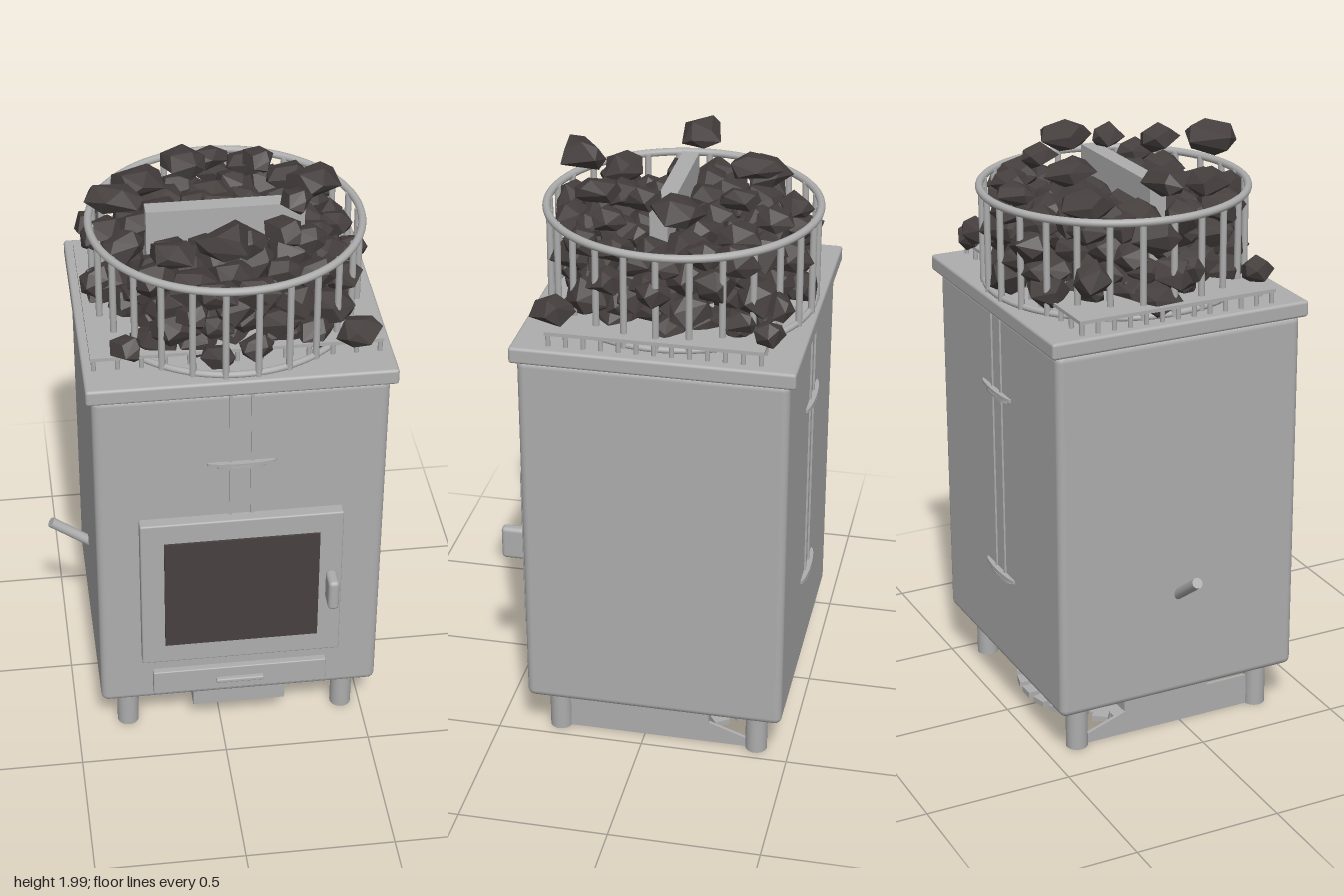
import * as THREE from 'three';
import { RoundedBoxGeometry } from 'three/addons/geometries/RoundedBoxGeometry.js';
import { ConvexGeometry } from 'three/addons/geometries/ConvexGeometry.js';

const CX = 0.06, CZ = -0.053; // vertical axis of the stove

export function createModel() {
  const root = new THREE.Group();
  const steel = new THREE.MeshStandardMaterial({ color: 0xadadad });
  steel.name = 'steel';
  const stone = new THREE.MeshStandardMaterial({ color: 0x453f3e, flatShading: true });
  stone.name = 'stone';
  const glass = new THREE.MeshStandardMaterial({ color: 0x474140 });
  glass.name = 'dark glass';

  let seed = 7;
  const rand = () => (seed = (seed * 16807) % 2147483647) / 2147483647;

  const add = (name, geo, mat, x = 0, y = 0, z = 0, parent = root) => {
    const m = new THREE.Mesh(geo, mat);
    m.name = name;
    m.position.set(x, y, z);
    parent.add(m);
    return m;
  };
  // box given by its limits, optionally rounded
  const box = (name, x0, x1, y0, y1, z0, z1, r = 0, mat = steel, parent = root) => {
    const s = [x1 - x0, y1 - y0, z1 - z0];
    const geo = r ? new RoundedBoxGeometry(...s, 3, r) : new THREE.BoxGeometry(...s);
    return add(name, geo, mat, (x0 + x1) / 2, (y0 + y1) / 2, (z0 + z1) / 2, parent);
  };
  const group = (name) => {
    const g = new THREE.Group();
    g.name = name;
    root.add(g);
    return g;
  };

  // Cabinet
  box('body', -0.418, 0.536, 0.167, 1.44, -0.483, 0.387, 0.025);
  box('topPlate', -0.436, 0.558, 1.437, 1.492, -0.505, 0.405, 0.01);

  // Vertical cover strips with lens-shaped clips, front and back
  const strip = (name, y0, z, out, clips) => {
    const g = group(name);
    for (const x of [0.024, 0.094])
      box('stripEdge', x - 0.005, x + 0.005, y0, 1.44, z - 0.006, z + 0.006, 0, steel, g);
    for (const y of clips) {
      for (const [w, dy] of [[0.113, 0.005], [0.08, -0.008]]) {
        const c = add('clip', new THREE.CylinderGeometry(1, 1, 0.011, 32), steel, CX, y + dy, z + out * 0.001, g);
        c.scale.set(w, 1, 0.018);
      }
    }
  };
  strip('frontStrip', 0.95, 0.387, 1, [1.16]);
  strip('backStrip', 0.5, -0.483, -1, [1.16, 0.503]);

  // Door with window and grip
  box('doorFrame', -0.278, 0.395, 0.365, 0.957, 0.38, 0.427, 0.006);
  box('doorGlass', -0.2, 0.317, 0.445, 0.88, 0.426, 0.434, 0, glass);
  box('doorHandle', 0.339, 0.376, 0.603, 0.72, 0.425, 0.505, 0.014);

  // Ash drawer
  box('ashDrawer', -0.24, 0.357, 0.207, 0.302, 0.38, 0.41, 0.004);
  box('drawerHandle', -0.025, 0.14, 0.245, 0.261, 0.405, 0.426, 0.005);

  // Damper lever on the side
  const a = new THREE.Vector3(-0.545, 0.628, -0.052), b = new THREE.Vector3(-0.39, 0.515, -0.052);
  const lever = add('lever', new THREE.CylinderGeometry(0.018, 0.018, a.distanceTo(b), 20), steel);
  lever.position.lerpVectors(a, b, 0.5);
  lever.quaternion.setFromUnitVectors(new THREE.Vector3(0, 1, 0), a.clone().sub(b).normalize());

  // Base: feet, collar, drum, floor and side gussets
  const base = group('base');
  for (const x of [-0.322, 0.434]) {
    for (const z of [0.295, -0.386])
      add('foot', new THREE.CylinderGeometry(0.037, 0.037, 0.18, 24), steel, x, 0.09, z, base);
    const s = new THREE.Shape();
    s.moveTo(-0.29, 0).lineTo(0.386, 0).lineTo(0.36, 0.03).lineTo(0.13, 0.11).lineTo(-0.29, 0.11);
    const gusset = add('sideGusset', new THREE.ExtrudeGeometry(s, { depth: 0.012, bevelEnabled: false }),
      steel, x - 0.006, 0, 0, base);
    gusset.rotation.y = Math.PI / 2;
  }
  box('sideCollar', -0.368, 0.487, 0.11, 0.18, -0.23, 0.085, 0, steel, base);
  box('frontCollar', -0.1, 0.22, 0.11, 0.18, -0.43, 0.375, 0, steel, base);
  add('upperDrum', new THREE.CylinderGeometry(0.335, 0.335, 0.07, 64), steel, CX, 0.14, CZ, base);
  add('lowerDrum', new THREE.CylinderGeometry(0.24, 0.24, 0.11, 64), steel, CX, 0.06, CZ, base);
  add('floorDisc', new THREE.CylinderGeometry(0.3, 0.3, 0.01, 64), steel, CX, 0.006, CZ, base);
  box('floorPlate', -0.322, 0.434, 0.001, 0.011, -0.2, 0.2, 0, steel, base);
  for (let i = -4; i <= 4; i++) {
    const t = i * 0.24;
    const tooth = add('airTooth', new THREE.BoxGeometry(0.055, 0.02, 0.05), steel,
      CX + Math.sin(t) * 0.325, 0.015, CZ - Math.cos(t) * 0.325, base);
    tooth.rotation.y = -t;
  }

  // Raised deck on small pegs
  const deck = group('stoneDeck');
  box('deckPlate', -0.41, 0.525, 1.53, 1.542, -0.4, 0.295, 0, steel, deck);
  const peg = new THREE.CylinderGeometry(0.008, 0.008, 0.05, 10);
  for (let i = 0; i <= 12; i++) {
    const x = -0.4 + (0.915 * i) / 12, z = -0.39 + (0.675 * i) / 12;
    for (const zz of [-0.39, 0.285]) add('peg', peg, steel, x, 1.513, zz, deck);
    for (const xx of [-0.4, 0.515]) add('peg', peg, steel, xx, 1.513, z, deck);
  }

  // Round cage
  const cage = group('stoneCage');
  const ring = (name, r, tube, y) => {
    add(name, new THREE.TorusGeometry(r, tube, 12, 96), steel, CX, y, CZ, cage).rotation.x = Math.PI / 2;
  };
  ring('topRing', 0.439, 0.013, 1.815);
  ring('bottomRing', 0.428, 0.011, 1.5);
  const bar = new THREE.CylinderGeometry(0.011, 0.011, 0.325, 12);
  for (let i = 0; i < 26; i++) {
    const t = ((i + 0.5) / 26) * Math.PI * 2;
    add('cageBar', bar, steel, CX + Math.sin(t) * 0.432, 1.654, CZ + Math.cos(t) * 0.432, cage);
  }
  box('dividerPanel', -0.2, 0.31, 1.5, 1.885, -0.052, 0.005, 0, steel, cage);

  // Faceted stones: hulls of points scattered over an ellipsoid
  const stones = group('stones');
  const hulls = [];
  for (let k = 0; k < 12; k++) {
    const pts = [];
    for (let i = 0; i < 13; i++) {
      const y = 1 - (2 * (i + 0.5)) / 13, t = i * 2.4 + rand() * 0.9, r = Math.sqrt(1 - y * y);
      pts.push(new THREE.Vector3(r * Math.cos(t), y, r * Math.sin(t)).multiplyScalar(0.88 + rand() * 0.22));
    }
    hulls.push(new ConvexGeometry(pts));
  }
  const rock = (x, y, z, sx, sy, sz) => {
    const m = add('stone', hulls[Math.floor(rand() * 12)], stone, x, y, z, stones);
    m.scale.set(sx, sy, sz);
    m.rotation.y = (rand() - 0.5) * 0.8;
  };
  // packed layers inside the cage, kept clear of the divider
  for (let layer = 0; layer < 4; layer++) {
    for (let i = 0; i < 42; i++) {
      const r = 0.395 * Math.sqrt((i + 0.5) / 42), t = i * 2.39996 + layer * 1.3;
      const s = 0.054 + rand() * 0.032;
      const x = CX + r * Math.cos(t);
      let z = CZ + r * Math.sin(t);
      const dz = z + 0.023;
      if (x > -0.22 && x < 0.32 && Math.abs(dz) < 0.08) z = -0.023 + (dz < 0 ? -0.08 : 0.08);
      rock(x, 1.55 + layer * 0.072 + (rand() - 0.5) * 0.03, z, s * 1.1, s * 0.78, s);
    }
  }
  // loose stones on top, then those outside the cage
  [
    [-0.295, 1.915, -0.04, 0.1, 0.05, 0.08], [0.02, 1.938, 0.29, 0.1, 0.06, 0.075],
    [0.35, 1.91, -0.09, 0.09, 0.05, 0.1], [-0.05, 1.91, -0.26, 0.075, 0.045, 0.09],
    [0.28, 1.91, 0.03, 0.06, 0.045, 0.06], [0.22, 1.9, 0.19, 0.07, 0.045, 0.08],
    [0.2, 1.9, -0.26, 0.06, 0.04, 0.07], [-0.2, 1.84, -0.27, 0.09, 0.05, 0.1],
    [-0.14, 1.84, 0.19, 0.08, 0.05, 0.08], [0.09, 1.84, 0.14, 0.08, 0.05, 0.07],
    [0.3, 1.82, -0.28, 0.08, 0.05, 0.08], [0.05, 1.83, -0.41, 0.08, 0.04, 0.06],
    [0.17, 1.83, -0.37, 0.07, 0.045, 0.07], [0.3, 1.84, 0.14, 0.06, 0.045, 0.06],
    [-0.35, 1.65, -0.33, 0.07, 0.06, 0.065], [-0.29, 1.57, 0.29, 0.06, 0.045, 0.06],
    [0.45, 1.57, -0.4, 0.055, 0.045, 0.055], [0.44, 1.58, 0.29, 0.075, 0.05, 0.07],
    [0.47, 1.68, -0.04, 0.055, 0.045, 0.06], [0.45, 1.6, -0.31, 0.045, 0.045, 0.05],
    [0.36, 1.62, -0.42, 0.06, 0.05, 0.05], [-0.1, 1.62, -0.4, 0.065, 0.05, 0.06],
    [-0.36, 1.64, 0.0, 0.06, 0.06, 0.06], [0.41, 1.61, 0.08, 0.06, 0.05, 0.06],
  ].forEach((p) => rock(...p));

  return root;
}
